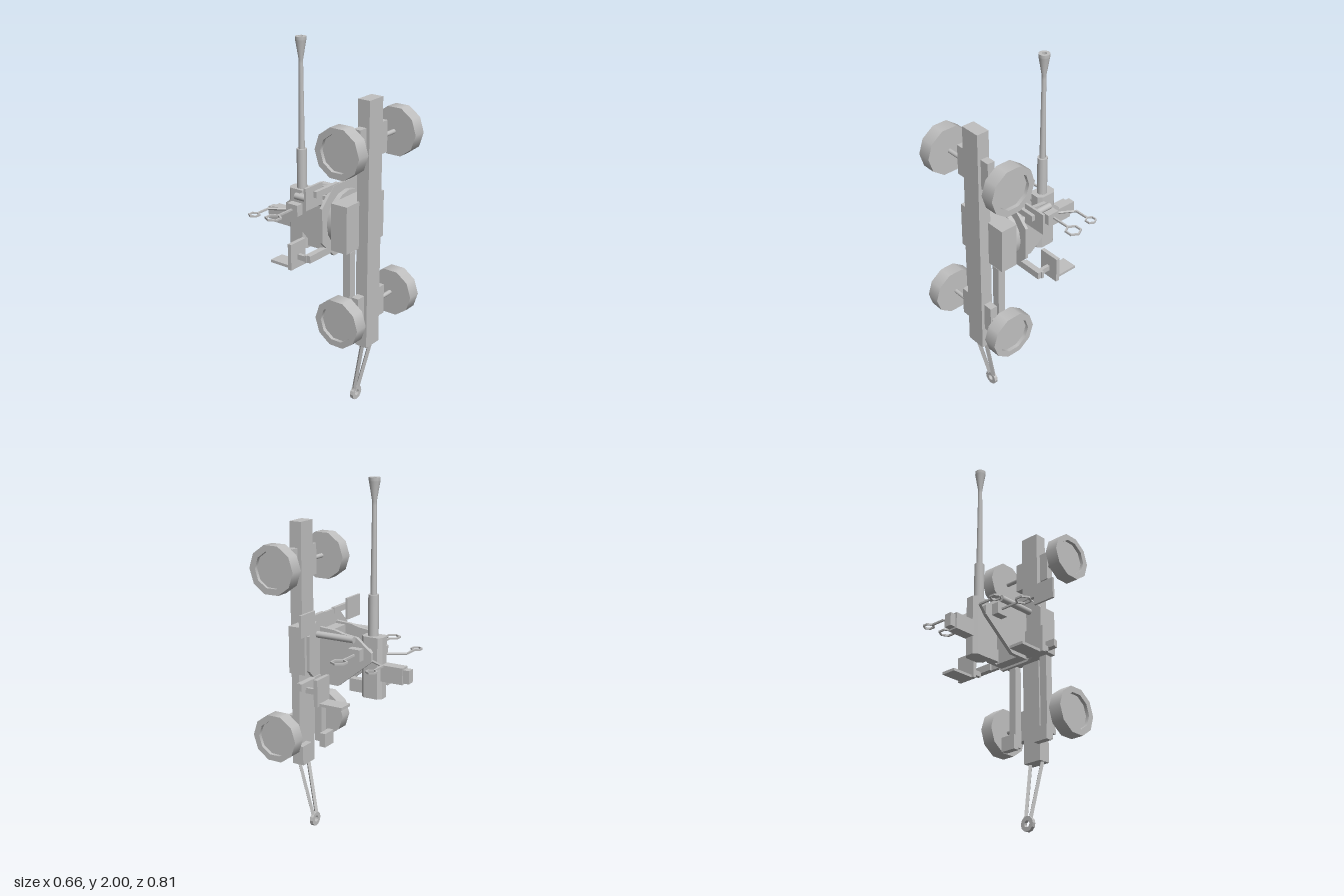
import * as THREE from 'three';

export function createModel() {
  const root = new THREE.Group();
  root.name = 'towedGun';
  const grey = new THREE.MeshStandardMaterial({ color: 0xc0c0c0 });
  grey.name = 'lightGrey';

  const add = (name, geo, parent = root) => {
    const m = new THREE.Mesh(geo, grey);
    m.name = name;
    parent.add(m);
    return m;
  };
  // box from its limits
  const box = (name, x0, x1, y0, y1, z0, z1) =>
    add(name, new THREE.BoxGeometry(Math.abs(x1 - x0), y1 - y0, z1 - z0)
      .translate((x0 + x1) / 2, (y0 + y1) / 2, (z0 + z1) / 2));
  // beam or rod between two points
  const span = (name, a, b, geoOf) => {
    const p = new THREE.Vector3(...a), q = new THREE.Vector3(...b);
    const d = q.clone().sub(p);
    const m = add(name, geoOf(d.length()));
    m.position.copy(p).add(q).multiplyScalar(0.5);
    m.quaternion.setFromUnitVectors(new THREE.Vector3(0, 1, 0), d.normalize());
    return m;
  };
  const rod = (name, a, b, r, n = 12) =>
    span(name, a, b, (l) => new THREE.CylinderGeometry(r, r, l, n));
  const bar = (name, a, b, w) => span(name, a, b, (l) => new THREE.BoxGeometry(w, l, w));
  const poly = (pts) => new THREE.Shape(pts.map((p) => new THREE.Vector2(...p)));
  const extrude = (shape, depth, curveSegments = 8) =>
    new THREE.ExtrudeGeometry(shape, { depth, bevelEnabled: false, curveSegments });
  // rectangle with cut corners
  const chamfered = (w, h, c) => poly([
    [-w + c, -h], [w - c, -h], [w, -h + c], [w, h - c],
    [w - c, h], [-w + c, h], [-w, h - c], [-w, -h + c]]);
  const ring = (R, r, n, d) => {
    const circle = (rad) => Array.from({ length: n }, (_, i) => {
      const a = (i / n) * Math.PI * 2;
      return [rad * Math.cos(a), rad * Math.sin(a)];
    });
    const s = poly(circle(R));
    s.holes.push(poly(circle(r)));
    return extrude(s, d).translate(0, 0, -d / 2);
  };

  // chassis and pedestal
  box('mainBeam', -0.057, 0.057, 0.38, 1.75, 0.228, 0.3);
  box('pedestal', -0.164, 0.164, 0.95, 1.21, 0.143, 0.243);
  for (const [r, z0, z1] of [[0.123, 0.135, 0.145], [0.157, 0.11, 0.137]]) {
    rod('turntable', [0, 1.08, z0], [0, 1.08, z1], r, 16);
  }
  add('platform', extrude(chamfered(0.195, 0.195, 0.1), 0.017)).position.set(0, 1.083, 0.093);

  // wheel profile: outer face dished, axis along y
  const wheelProfile = [[0, -0.038], [0.135, -0.038], [0.135, -0.038], [0.135, 0.038], [0.135, 0.038],
    [0.1, 0.038], [0.1, 0.038], [0.1, 0.018], [0.1, 0.018], [0, 0.018]].map((p) => new THREE.Vector2(...p));

  for (const y of [0.606, 1.527]) {
    rod('axle', [-0.215, y, 0.267], [0.215, y, 0.267], 0.0125);
    for (const s of [-1, 1]) {
      const wheel = add('wheel', new THREE.LatheGeometry(wheelProfile, 10));
      wheel.rotation.z = -s * Math.PI / 2;
      wheel.position.set(s * 0.245, y, 0.267);
      box('axleBracket', s * 0.065, s * 0.118, y - 0.085, y + 0.085, 0.245, 0.288);
    }
  }

  // tow frame and eye
  for (const s of [-1, 1]) bar('towBar', [s * 0.043, 0.39, 0.265], [s * 0.017, 0.07, 0.194], 0.018);
  add('towEye', ring(0.041, 0.018, 12, 0.02)).position.set(0, 0.041, 0.192);

  // cradle side plate outline in (z, y)
  const sidePlate = poly([[0.093, 0.9], [-0.02, 0.9], [-0.22, 1.06], [-0.22, 1.11],
    [-0.13, 1.18], [-0.05, 1.19], [0, 1.203], [0.093, 1.21]].map(([z, y]) => [-z, y]));

  box('cradleBase', -0.072, 0.072, 0.9, 1.195, 0.033, 0.094);
  for (const s of [-1, 1]) {
    const plate = add('cradleSide', extrude(sidePlate, 0.021).rotateY(Math.PI / 2));
    plate.position.x = s > 0 ? 0.071 : -0.092;

    // folded outrigger legs
    box('outrigger', s * 0.09, s * 0.135, 0.48, 0.95, 0.2, 0.245);
    box('outriggerFoot', s * 0.07, s * 0.16, 0.457, 0.538, 0.165, 0.202);

    // balance cylinders and blocks
    rod('balanceCylinder', [s * 0.115, 1.175, 0.094], [s * 0.115, 1.175, -0.13], 0.018, 16);
    box('sightBlock', s * 0.09, s * 0.135, 1.067, 1.13, -0.175, -0.105);

    // crew seats and footrests
    box('upperCrossbar', s * 0.05, s * 0.24, 1.252, 1.285, 0.087, 0.108);
    box('footrest', s * 0.165, s * 0.3, 1.195, 1.315, 0.075, 0.088);
    box('lowerCrossbar', s * 0.08, s * 0.293, 0.91, 0.95, 0.087, 0.108);
    box('lowerPlate', s * 0.165, s * 0.3, 0.91, 0.95, 0.075, 0.088);
    box('seatArm', s * 0.238, s * 0.257, 0.89, 0.92, -0.01, 0.08);
    box('seatBack', s * 0.19, s * 0.31, 0.845, 0.99, -0.027, -0.005);
    box('seat', s * 0.203, s * 0.291, 0.845, 0.86, -0.16, -0.02);

    // ring sights on arms
    bar('sightArm', [s * 0.13, 1.1, -0.143], [s * 0.247, 1.1, -0.143], 0.01);
    add('ringSight', ring(0.046, 0.036, 6, 0.01).rotateX(Math.PI / 2)).position.set(s * 0.285, 1.1, -0.143);
    bar('rearSightArm', [s * 0.08, 1.066, -0.22], [s * 0.136, 1.066, -0.31], 0.01);
    bar('rearSightArm', [s * 0.134, 1.066, -0.31], [s * 0.218, 1.066, -0.31], 0.01);
    add('rearRingSight', ring(0.033, 0.025, 6, 0.01).rotateX(Math.PI / 2)).position.set(s * 0.247, 1.066, -0.31);
  }

  // breech, trunnion and loader
  add('breech', extrude(chamfered(0.043, 0.061, 0.02), 0.335).rotateX(-Math.PI / 2)).position.set(0, 0.845, -0.187);
  rod('trunnion', [-0.075, 1.1, -0.18], [0.075, 1.1, -0.18], 0.02, 16);
  box('loader', -0.03, 0.03, 0.945, 1.035, -0.37, -0.24);
  box('loaderEnd', -0.022, 0.022, 0.953, 1.025, -0.405, -0.37);
  box('breechBlock', -0.022, 0.022, 0.86, 0.93, -0.13, -0.05);

  // barrel with flared, hollow muzzle
  rod('barrelJacket', [0, 1.17, -0.18], [0, 1.4, -0.18], 0.028, 12);
  const barrel = [[0.017, 1.4], [0.012, 1.86], [0.012, 1.88], [0.029, 1.98], [0.03, 1.985], [0.03, 2], [0.03, 2],
    [0.013, 2], [0.013, 2], [0.013, 1.9], [0, 1.9]].map((p) => new THREE.Vector2(...p));
  add('barrel', new THREE.LatheGeometry(barrel, 12)).position.z = -0.18;

  return root;
}
